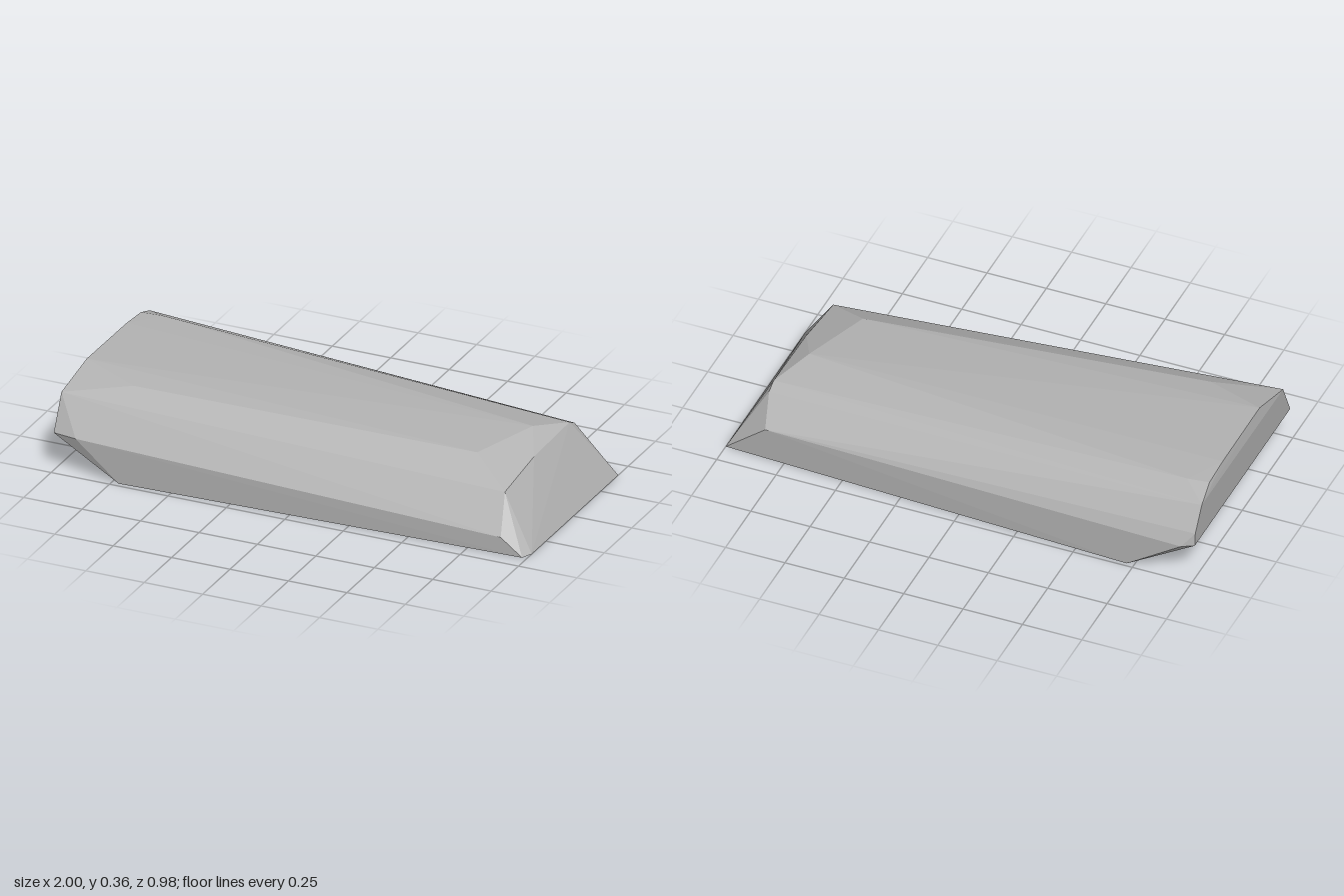
import * as THREE from 'three';
import { ConvexGeometry } from 'three/addons/geometries/ConvexGeometry.js';

export function createModel() {
  const group = new THREE.Group();
  group.name = 'rockSlab';
  const stone = new THREE.MeshStandardMaterial({ color: 0xb4b4b4 });
  stone.name = 'grey stone';
  stone.flatShading = true;

  // Corners of the faceted slab, [x, y, z]
  const tallEnd = [
    [-1, 0.16, 0.475], [-0.9, 0.16, 0.49], [-1, 0.305, 0.405],
    [-0.99, 0.36, 0.195], [-0.74, 0.338, 0.3],
    [-0.99, 0.357, -0.17], [-0.99, 0.347, -0.3], [-0.9, 0.345, -0.31],
    [-1, 0.31, -0.4], [-1, 0.215, -0.465], [-1, 0.16, -0.47], [-0.95, 0.155, -0.49],
  ];
  const base = [
    [-0.72, 0, 0.48], [-0.72, 0, -0.485],
    [0.98, 0, 0.425], [1, 0, 0.38], [1, 0, -0.41],
  ];
  const slopedEnd = [
    [0.89, 0.07, 0.428], [0.86, 0.215, 0.325], [0.86, 0.253, 0.06],
    [0.86, 0.262, -0.265], [0.86, 0.24, -0.31], [0.86, 0.138, -0.385], [0.83, 0.14, -0.42],
    [0.78, 0.3, -0.1], [0.68, 0.293, 0.195],
  ];
  const points = [...tallEnd, ...base, ...slopedEnd].map((p) => new THREE.Vector3(...p));

  // Solid stone stretched over the corners
  const rock = new THREE.Mesh(new ConvexGeometry(points), stone);
  rock.name = 'rock';
  group.add(rock);
  return group;
}
